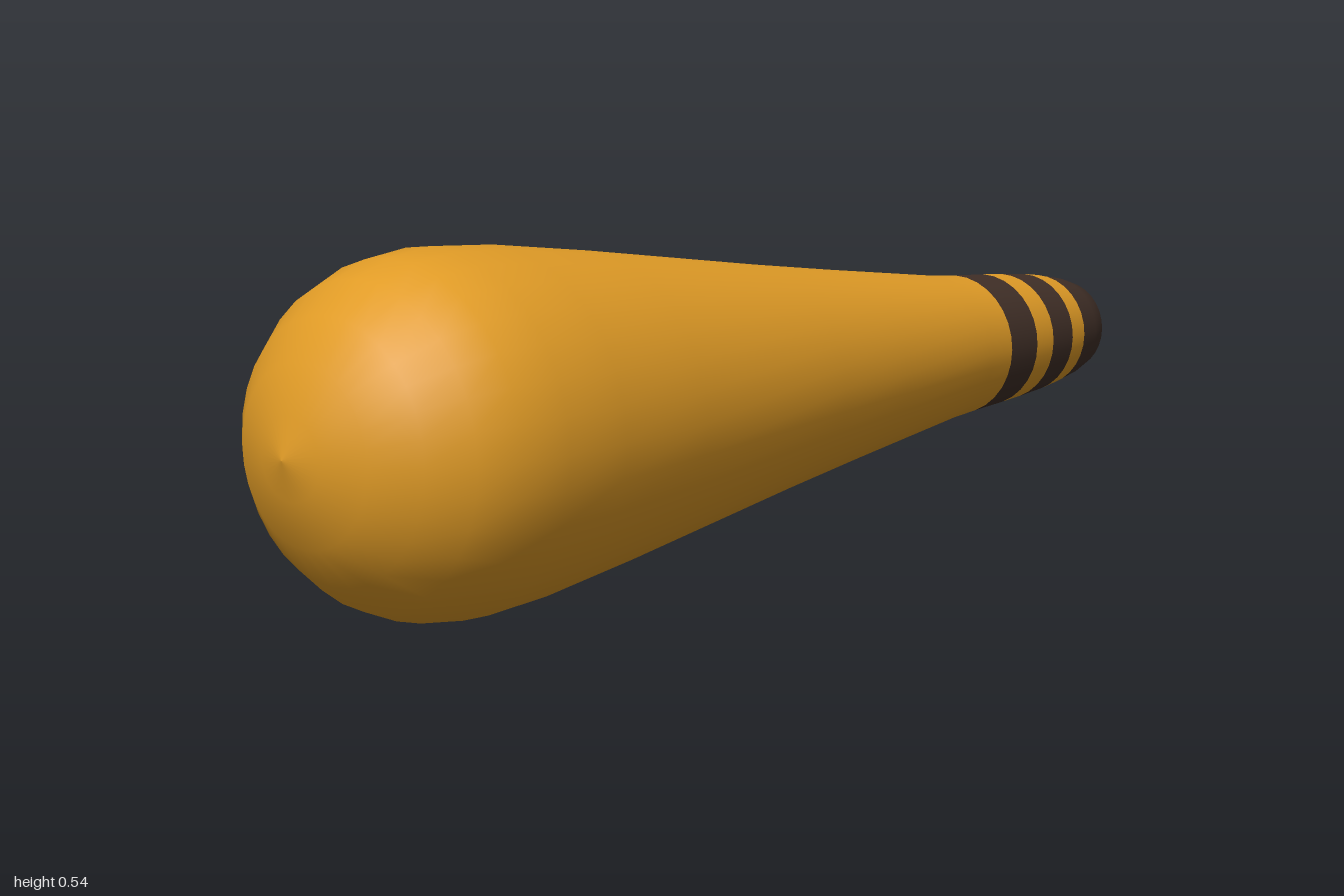
import * as THREE from 'three';

const SEGMENTS = 32;
const AXIS_Y = 0.272;

export function createModel() {
  const amber = new THREE.MeshStandardMaterial({ color: 0xe09b26 });
  amber.name = 'amber';
  const darkBrown = new THREE.MeshStandardMaterial({ color: 0x402f27 });
  darkBrown.name = 'darkBrown';

  const model = new THREE.Group();
  model.name = 'club';

  // Turned section along x; profile is [x, radius] from the fat end to the tip
  function addSection(name, material, profile) {
    const points = profile.map(([x, r]) => new THREE.Vector2(r, x));
    const geometry = new THREE.LatheGeometry(points, SEGMENTS);
    geometry.rotateZ(-Math.PI / 2);
    const mesh = new THREE.Mesh(geometry, material);
    mesh.name = name;
    mesh.position.y = AXIS_Y;
    model.add(mesh);
  }

  // Swollen head tapering into the long body
  addSection('body', amber, [
    [-1, 0], [-0.985, 0.06], [-0.962, 0.13], [-0.915, 0.19], [-0.86, 0.235],
    [-0.8, 0.26], [-0.72, 0.271], [-0.6, 0.265], [-0.4, 0.242], [0, 0.19],
    [0.2, 0.166], [0.5, 0.132], [0.57, 0.127],
  ]);

  // Alternating painted bands on the narrow end
  const bands = [[0.57, 0.127], [0.66, 0.122], [0.72, 0.118], [0.795, 0.112], [0.845, 0.106]];
  for (let i = 0; i < bands.length - 1; i++) {
    const dark = i % 2 === 0;
    addSection(dark ? 'darkBand' : 'amberBand', dark ? darkBrown : amber, [bands[i], bands[i + 1]]);
  }

  // Rounded tip
  addSection('tip', darkBrown, [
    [0.845, 0.106], [0.9, 0.097], [0.94, 0.086], [0.975, 0.06], [0.993, 0.03], [1, 0],
  ]);

  return model;
}
